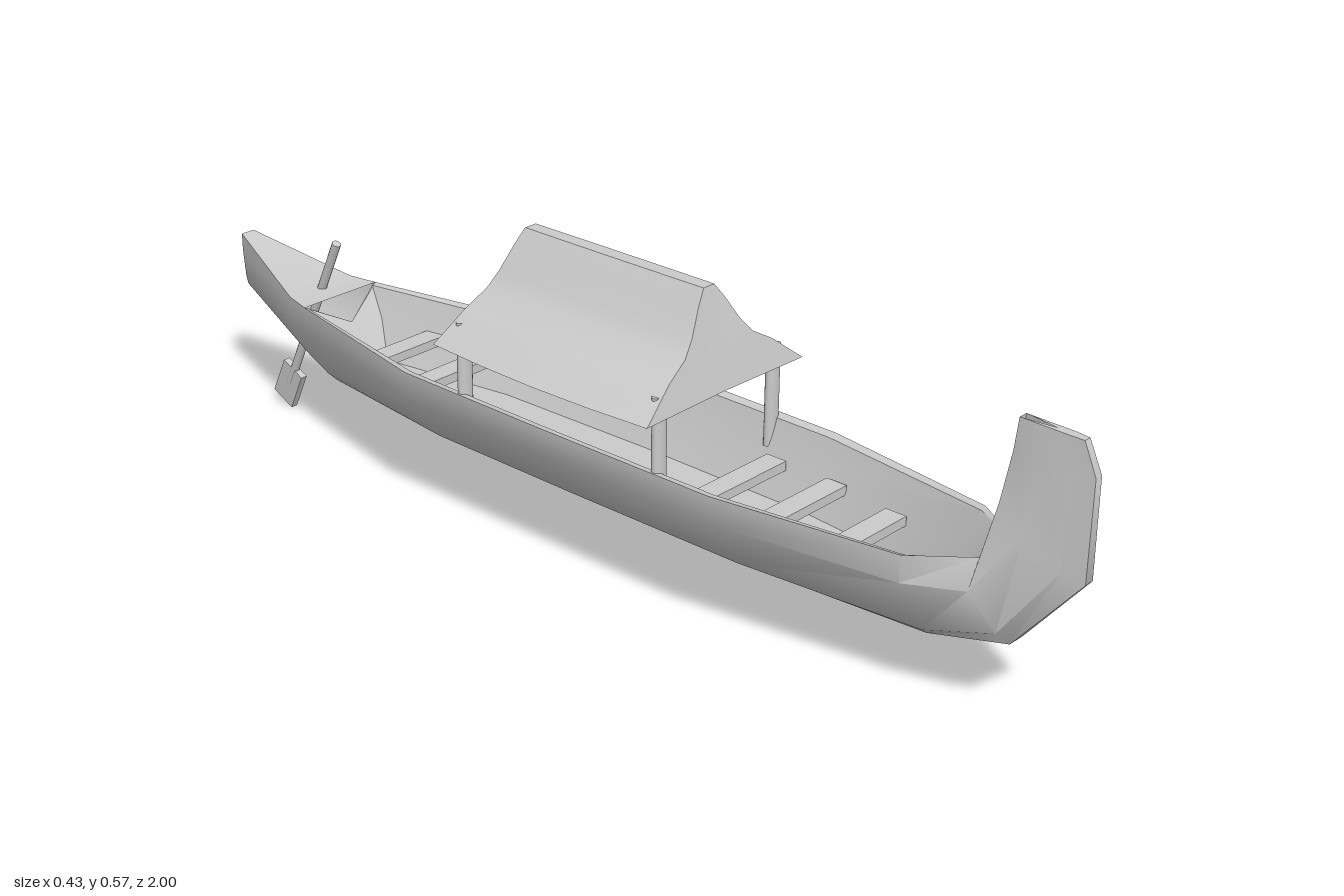
import * as THREE from 'three';
import { toCreasedNormals } from 'three/addons/utils/BufferGeometryUtils.js';

const material = new THREE.MeshStandardMaterial({ color: 0xcccccc, side: THREE.DoubleSide });

// Skin a surface over rows of [x, y, z] points
function loft(rows, crease = 0.75) {
  const pos = [];
  const same = (p, q) => Math.hypot(p[0] - q[0], p[1] - q[1], p[2] - q[2]) < 1e-6;
  const tri = (a, b, c) => {
    if (!same(a, b) && !same(b, c) && !same(c, a)) pos.push(...a, ...b, ...c);
  };
  for (let i = 0; i < rows.length - 1; i++) {
    for (let j = 0; j < rows[i].length - 1; j++) {
      const a = rows[i][j], b = rows[i + 1][j], c = rows[i + 1][j + 1], d = rows[i][j + 1];
      tri(a, b, c);
      tri(a, c, d);
    }
  }
  const g = new THREE.BufferGeometry();
  g.setAttribute('position', new THREE.Float32BufferAttribute(pos, 3));
  return toCreasedNormals(g, crease);
}

const flip = ([x, y, z]) => [-x, y, z];
// Left half of a section followed by its mirror image
const leftToRight = half => [...half, ...half.map(flip).reverse()];
const rightToLeft = half => [...half.map(flip), ...[...half].reverse()];
// A row collapsed to one point closes the end of a skin
const collapse = (row, p) => row.map(() => p);
const centre = row => [0, 1, 2].map(k => row.reduce((s, p) => s + p[k], 0) / row.length);

function add(parent, name, geometry) {
  const mesh = new THREE.Mesh(geometry, material);
  mesh.name = name;
  parent.add(mesh);
  return mesh;
}

// Half sections from stern to prow tip: gunwale, chine, bilge, keel
const stations = [
  [[0.015, 0.355, -1], [0.015, 0.32, -1], [0.011, 0.265, -1], [0.007, 0.245, -1]],
  [[0.078, 0.297, -0.78], [0.078, 0.25, -0.78], [0.045, 0.172, -0.78], [0.03, 0.16, -0.78]],
  [[0.092, 0.295, -0.72], [0.092, 0.245, -0.72], [0.05, 0.146, -0.71], [0.036, 0.13, -0.7]],
  [[0.168, 0.295, -0.35], [0.168, 0.245, -0.35], [0.088, 0.14, -0.35], [0.066, 0.127, -0.35]],
  [[0.17, 0.295, 0], [0.168, 0.245, 0], [0.09, 0.14, 0], [0.068, 0.127, 0]],
  [[0.167, 0.295, 0.38], [0.167, 0.245, 0.38], [0.088, 0.14, 0.38], [0.066, 0.127, 0.38]],
  [[0.115, 0.295, 0.73], [0.115, 0.245, 0.73], [0.06, 0.142, 0.74], [0.045, 0.13, 0.74]],
  [[0.045, 0.3, 0.83], [0.072, 0.25, 0.83], [0.046, 0.18, 0.87], [0.018, 0.153, 0.88]],
  [[0.022, 0.39, 0.843], [0.034, 0.36, 0.9], [0.025, 0.315, 0.965], [0.01, 0.3, 1]],
  [[0.012, 0.48, 0.855], [0.016, 0.48, 0.9], [0.014, 0.48, 0.96], [0.008, 0.48, 1]],
  [[0.009, 0.538, 0.86], [0.009, 0.537, 0.9], [0.009, 0.536, 0.95], [0.007, 0.535, 0.975]],
];

function buildHull(group) {
  const skin = stations.map(leftToRight);
  const last = skin[skin.length - 1];
  skin.unshift(collapse(skin[0], centre(skin[0])));
  skin.push(collapse(last, centre(last)));
  add(group, 'hull', loft(skin));

  const gunwales = stations.map(s => rightToLeft([s[0]]));
  add(group, 'sternDeck', loft(gunwales.slice(0, 3)));
  add(group, 'prowBack', loft(gunwales.slice(7)));

  // Rim, inner sides and floor: floor half width and floor z per station
  const floor = [[0.045, -0.64], [0.09, -0.35], [0.098, 0], [0.095, 0.38], [0.06, 0.7], [0.036, 0.78]];
  const inside = floor.map(([w, z], i) => {
    const [x, y, gz] = stations[i + 2][0];
    const edge = x * 0.9;
    return rightToLeft([
      [x, y, gz],
      [edge, y - 0.004, gz],
      [THREE.MathUtils.lerp(edge, w, 0.35), 0.235, THREE.MathUtils.lerp(gz, z, 0.5)],
      [w, 0.165, z],
    ]);
  });
  const end = inside[inside.length - 1];
  inside.unshift(collapse(inside[0], centre(inside[0])));
  inside.push(collapse(end, centre(end)));
  add(group, 'interior', loft(inside, 0.6));
}

function buildRoof(group) {
  // Sagging slope from ridge to eave
  const profile = [
    [0.21, 0.395], [0.185, 0.413], [0.14, 0.447], [0.09, 0.475],
    [0.065, 0.502], [0.035, 0.548], [0.014, 0.575],
  ];
  const row = (side, scale) => rightToLeft(profile.map(([x, y]) => {
    const reach = THREE.MathUtils.mapLinear(y, 0.395, 0.575, 0.255, 0.21);
    return [x * scale, y, 0.02 + side * reach];
  }));
  const rows = [row(-1, 0.96), row(-0.5, 1), row(0, 1.015), row(0.5, 1), row(1, 0.96)];
  add(group, 'roof', loft(rows, 0.6));
  for (const side of [-1, 1]) {
    const edge = row(side, 0.96);
    const foot = collapse(edge, [0, 0.395, 0.02 + side * 0.25]);
    add(group, 'gable', loft(side > 0 ? [edge, foot] : [foot, edge], 0.3));
  }

  // Four oval posts
  for (const x of [-0.147, 0.147]) {
    for (const z of [-0.213, 0.253]) {
      const post = add(group, 'roofPost', new THREE.CylinderGeometry(0.0165, 0.0165, 0.19, 16));
      post.scale.z = 0.6;
      post.position.set(x, 0.335, z);
    }
  }
}

function buildPaddle(group) {
  const paddle = new THREE.Group();
  paddle.name = 'paddle';
  const shaft = add(paddle, 'paddleShaft', new THREE.CylinderGeometry(0.009, 0.009, 0.38, 12));
  shaft.position.y = -0.19;
  const blade = add(paddle, 'paddleBlade', new THREE.BoxGeometry(0.014, 0.085, 0.058));
  blade.position.y = -0.385;
  const spine = add(paddle, 'paddleSpine', new THREE.CylinderGeometry(0.009, 0.005, 0.075, 12));
  spine.position.y = -0.39;
  paddle.position.set(-0.002, 0.402, -0.722);
  paddle.rotation.x = Math.atan2(0.165, 0.342);
  group.add(paddle);
}

export function createModel() {
  const group = new THREE.Group();
  group.name = 'boat';
  buildHull(group);
  buildRoof(group);
  buildPaddle(group);

  // Benches: z and full width
  for (const [z, w] of [[-0.55, 0.19], [-0.405, 0.225], [0.29, 0.24], [0.425, 0.235], [0.568, 0.19]]) {
    const bench = add(group, 'bench', new THREE.BoxGeometry(w, 0.018, 0.043));
    bench.position.set(0, 0.225, z);
  }
  return group;
}
